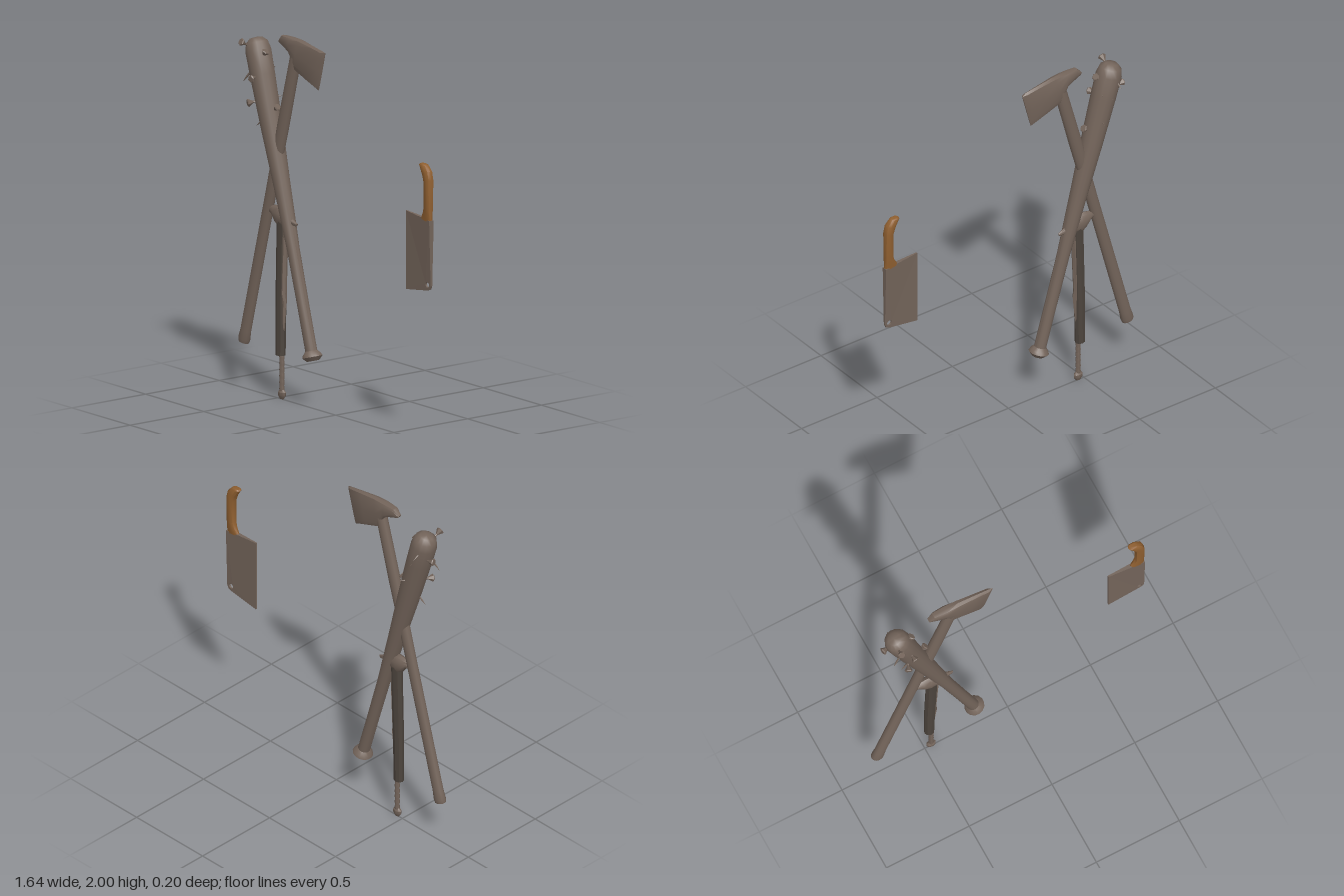
import * as THREE from 'three';
import { toCreasedNormals, mergeVertices } from 'three/addons/utils/BufferGeometryUtils.js';

const mat = (name, color) => {
  const m = new THREE.MeshStandardMaterial({ color });
  m.name = name;
  return m;
};

// Loft through sections [ax, ay, bx, by, halfThickness]: an oval ring spans a to b in the
// xy plane. Sections run left to right with a on top, or upward with a on the left.
function loft(sections, n = 10, boxy = 1) {
  const pos = [], index = [];
  const round = (v) => Math.sign(v) * Math.pow(Math.abs(v), boxy);
  for (const [ax, ay, bx, by, t] of sections) {
    for (let j = 0; j < n; j++) {
      const w = (j / n) * Math.PI * 2;
      const c = round(Math.cos(w)) / 2, s = round(Math.sin(w));
      pos.push((ax + bx) / 2 + (ax - bx) * c, (ay + by) / 2 + (ay - by) * c, t * s);
    }
  }
  const last = (sections.length - 1) * n;
  for (let i = 0; i < last; i += n) {
    for (let j = 0; j < n; j++) {
      const k = (j + 1) % n;
      index.push(i + j, i + k, i + n + j, i + k, i + n + k, i + n + j);
    }
  }
  for (let j = 1; j < n - 1; j++) {
    index.push(0, j + 1, j, last, last + j, last + j + 1);
  }
  const geo = new THREE.BufferGeometry();
  geo.setAttribute('position', new THREE.Float32BufferAttribute(pos, 3));
  geo.setIndex(index);
  return toCreasedNormals(geo, 0.7);
}

// Turned part from [radius, height] pairs
function turned(profile, segments = 12) {
  const geo = new THREE.LatheGeometry(profile.map(([r, y]) => new THREE.Vector2(r, y)), segments);
  geo.deleteAttribute('uv');
  geo.deleteAttribute('normal');
  return toCreasedNormals(mergeVertices(geo), 0.7);
}

export function createModel() {
  const model = new THREE.Group();
  model.name = 'weaponSet';
  const worn = mat('weatheredBrown', 0x73645a);
  const dark = mat('darkBrown', 0x4c443d);
  const wood = mat('handleWood', 0x8f5f30);

  const group = (name) => {
    const g = new THREE.Group();
    g.name = name;
    model.add(g);
    return g;
  };
  const add = (parent, name, geo, material) => {
    const m = new THREE.Mesh(geo, material);
    m.name = name;
    parent.add(m);
    return m;
  };
  // Stand a part that was built along y on "from", leaning toward "to"
  const up = new THREE.Vector3(0, 1, 0);
  const aim = (object, from, to) => {
    object.position.copy(from);
    object.quaternion.setFromUnitVectors(up, to.clone().sub(from).normalize());
  };
  const v = (x, y, z = 0) => new THREE.Vector3(x, y, z);

  // Spiked bat
  const bat = group('spikedBat');
  const batBody = add(bat, 'batBody', turned([
    [0, 0], [0.034, 0], [0.056, 0.022], [0.05, 0.036], [0.033, 0.055], [0.033, 0.3], [0.035, 0.6],
    [0.048, 0.98], [0.06, 1.26], [0.069, 1.55], [0.071, 1.68], [0.06, 1.725], [0.035, 1.748], [0, 1.752],
  ], 14), worn);
  aim(batBody, v(-0.195, 0.26), v(-0.685, 1.94));

  // Nails driven through the bat, from head to tip
  const nails = [
    [v(-0.69, 1.93, 0.1), v(-0.68, 1.82, -0.095)],
    [v(-0.605, 1.74, 0.1), v(-0.64, 1.76, -0.08)],
    [v(-0.645, 1.6, 0.09), v(-0.57, 1.63, -0.09)],
    [v(-0.585, 1.885, 0.01), v(-0.72, 1.7, 0.06)],
    [v(-0.75, 1.8, -0.01), v(-0.58, 1.79, -0.05)],
    [v(-0.495, 1.595, 0), v(-0.655, 1.465, 0.02)],
  ];
  for (const [head, tip] of nails) {
    const nail = new THREE.Group();
    nail.name = 'nail';
    const len = head.distanceTo(tip);
    add(nail, 'nailShaft', turned([[0, 0], [0.005, 0.03], [0.006, len - 0.01]], 6), worn);
    add(nail, 'nailHead', turned([[0.005, len - 0.035], [0.022, len - 0.005], [0.018, len], [0, len]], 6), worn);
    aim(nail, tip, head);
    bat.add(nail);
  }

  // Axe
  const axe = group('axe');
  const axeHandle = add(axe, 'axeHandle', turned([
    [0, 0], [0.034, 0], [0.038, 0.02], [0.034, 0.07], [0.034, 0.9], [0.038, 1.3], [0.036, 1.7], [0, 1.7],
  ], 12), worn);
  axeHandle.scale.z = 0.78;
  aim(axeHandle, v(-0.79, 0.255), v(-0.35, 1.87));
  add(axe, 'axeHead', loft([
    [-0.48, 1.965, -0.472, 1.95, 0.012],
    [-0.45, 1.998, -0.41, 1.927, 0.024],
    [-0.375, 2, -0.38, 1.912, 0.03],
    [-0.3, 2, -0.335, 1.825, 0.028],
    [-0.2, 1.985, -0.24, 1.785, 0.022],
    [-0.115, 1.971, -0.17, 1.758, 0.018],
    [-0.09, 1.965, -0.148, 1.748, 0.003],
  ], 12, 0.6), worn);

  // Slim staff with a beaked grip, wrapped middle and ridged rod
  const staff = group('beakedStaff');
  add(staff, 'beakedGrip', loft([
    [-0.592, 1.027, -0.585, 1.012, 0.008],
    [-0.55, 1.045, -0.535, 1.0, 0.02],
    [-0.515, 1.055, -0.505, 0.96, 0.028],
    [-0.475, 1.06, -0.475, 0.94, 0.032],
    [-0.435, 1.045, -0.435, 0.95, 0.03],
    [-0.4, 1.015, -0.41, 0.975, 0.022],
    [-0.33, 0.985, -0.338, 0.967, 0.006],
  ]), worn);
  add(staff, 'wrappedMiddle', loft([
    [-0.503, 0.24, -0.445, 0.24, 0.026],
    [-0.503, 0.5, -0.44, 0.5, 0.028],
    [-0.492, 0.98, -0.425, 0.98, 0.028],
  ], 8), dark);
  add(staff, 'looseFold', loft([
    [-0.46, 0.34, -0.446, 0.34, 0.006],
    [-0.46, 0.54, -0.426, 0.54, 0.014],
    [-0.46, 0.58, -0.434, 0.58, 0.018],
    [-0.45, 0.96, -0.415, 0.96, 0.018],
  ], 6), worn);
  const ridges = [[0, 0.04]];
  for (let i = 0; i <= 12; i++) ridges.push([i % 2 ? 0.015 : 0.012, 0.04 + i * 0.0175]);
  add(staff, 'ridgedRod', turned(ridges, 8), worn).position.x = -0.462;
  const knob = add(staff, 'endKnob', turned([
    [0, 0], [0.014, 0.002], [0.027, 0.02], [0.028, 0.038], [0.013, 0.056], [0, 0.056],
  ], 8), worn);
  knob.position.x = -0.462;
  knob.scale.z = 0.6;

  // Cleaver
  const cleaver = group('cleaver');
  const outline = new THREE.Shape([
    [0.607, 0.807], [0.795, 0.834], [0.814, 0.842], [0.822, 0.862],
    [0.822, 1.22], [0.74, 1.228], [0.607, 1.238],
  ].map(([x, y]) => new THREE.Vector2(x, y)));
  outline.holes.push(new THREE.Path().absarc(0.793, 0.865, 0.015, 0, Math.PI * 2, true));
  const blade = new THREE.ExtrudeGeometry(outline, { depth: 2, bevelEnabled: false, curveSegments: 10 });
  blade.translate(0, 0, -1);
  // Thin the blade toward its cutting edge and its far end
  const p = blade.attributes.position;
  for (let i = 0; i < p.count; i++) {
    const fx = (p.getX(i) - 0.607) / 0.215, fy = (p.getY(i) - 0.807) / 0.43;
    p.setZ(i, p.getZ(i) * (0.004 + 0.012 * fx * fy));
  }
  blade.computeVertexNormals();
  add(cleaver, 'cleaverBlade', blade, worn);
  add(cleaver, 'cleaverHandle', loft([
    [0.737, 1.222, 0.822, 1.21, 0.015],
    [0.757, 1.255, 0.822, 1.25, 0.018],
    [0.769, 1.29, 0.822, 1.29, 0.021],
    [0.769, 1.43, 0.822, 1.44, 0.025],
    [0.757, 1.465, 0.812, 1.487, 0.025],
    [0.728, 1.515, 0.785, 1.517, 0.02],
    [0.735, 1.522, 0.775, 1.522, 0.014],
  ], 10, 0.8), wood);

  return model;
}
